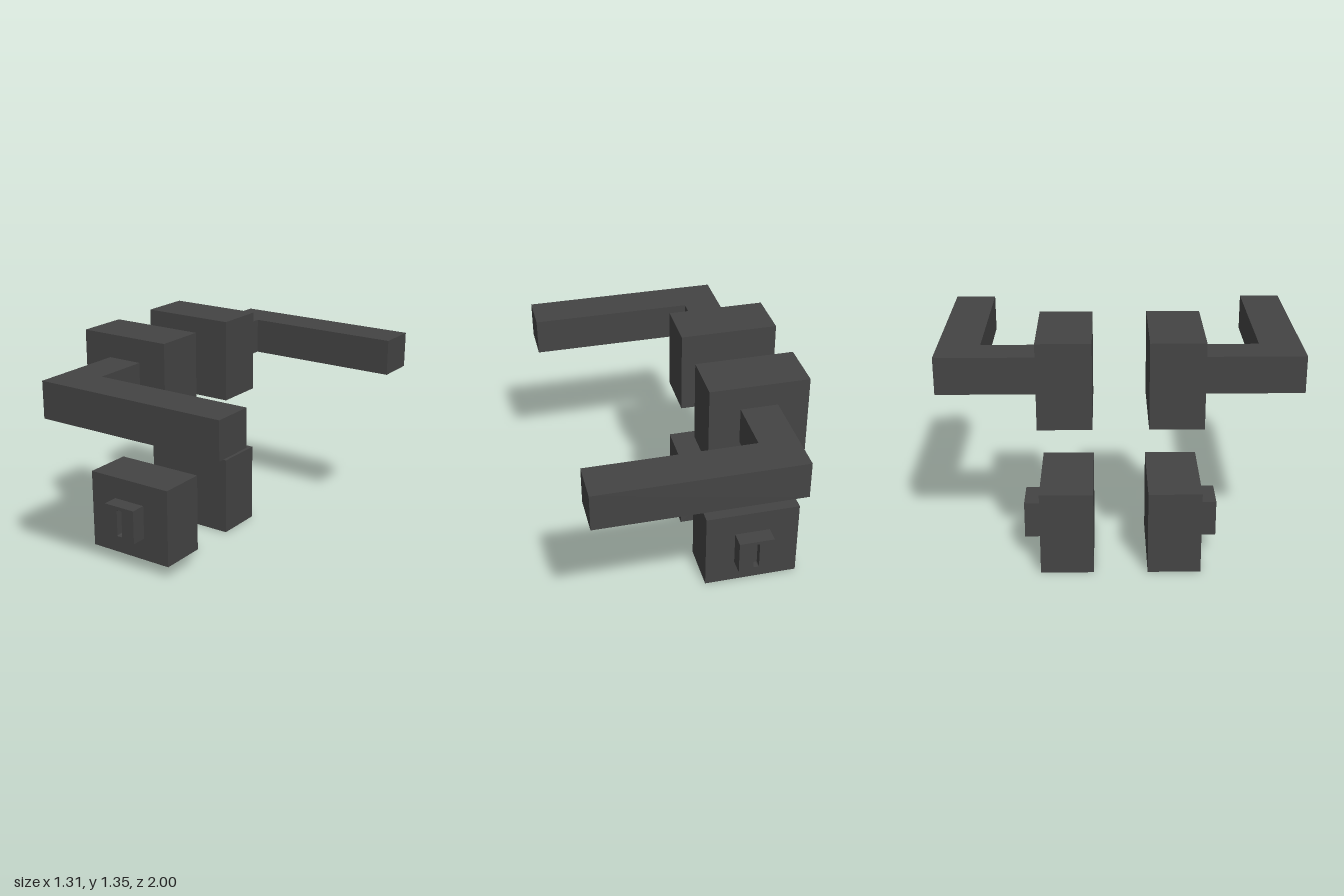
import * as THREE from 'three';

const material = new THREE.MeshStandardMaterial({ color: 0x444444 });

function add(parent, name, geometry, x = 0, y = 0, z = 0) {
  const mesh = new THREE.Mesh(geometry, material);
  mesh.name = name;
  mesh.position.set(x, y, z);
  parent.add(mesh);
}

// Rounded rectangle centred on the origin, drawn on a Shape or Path
function roundedRect(path, w, h, r) {
  const x = w / 2 - r, y = h / 2 - r;
  path.absarc(x, y, r, 0, Math.PI / 2);
  path.absarc(-x, y, r, Math.PI / 2, Math.PI);
  path.absarc(-x, -y, r, Math.PI, Math.PI * 1.5);
  path.absarc(x, -y, r, Math.PI * 1.5, Math.PI * 2);
  path.closePath();
  return path;
}

function roseBlock(parent) {
  add(parent, 'rose', new THREE.BoxGeometry(0.56, 0.48, 0.295), -0.375, 0, 0.2975);
}

// Block with an L-shaped lever, centred on its own height
function createLeverSet() {
  const set = new THREE.Group();
  roseBlock(set);
  const outline = new THREE.Shape([
    [-0.48, 0.44], [-0.27, 0.44], [-0.27, 0.765], [0.655, 0.765], [0.655, 1], [-0.48, 1],
  ].map(([x, z]) => new THREE.Vector2(x, z)));
  const lever = new THREE.ExtrudeGeometry(outline, { depth: 0.21, bevelEnabled: false });
  lever.translate(0, 0, -0.105).rotateX(Math.PI / 2);
  add(set, 'lever', lever);
  return set;
}

// Block with a small square lock boss and its recessed slot
function createLockSet() {
  const set = new THREE.Group();
  roseBlock(set);
  const face = new THREE.Shape();
  face.moveTo(-0.105, -0.104).lineTo(0.105, -0.104).lineTo(0.105, 0.104).lineTo(-0.105, 0.104).closePath();
  face.holes.push(roundedRect(new THREE.Path(), 0.035, 0.168, 0.008));
  add(set, 'lockBoss', new THREE.ExtrudeGeometry(face, { depth: 0.1, bevelEnabled: false, curveSegments: 4 }), -0.375, 0.002, 0.44);
  add(set, 'slotFloor', new THREE.BoxGeometry(0.04, 0.172, 0.05), -0.375, 0.002, 0.47);
  return set;
}

export function createModel() {
  const model = new THREE.Group();
  model.name = 'doorHandleSet';
  // Same fittings on both sides of the door; each is symmetric about its own height
  for (const [side, turn] of [['front', 0], ['back', Math.PI]]) {
    for (const [name, build, y] of [['LeverSet', createLeverSet, 1.105], ['LockSet', createLockSet, 0.24]]) {
      const set = build();
      set.name = side + name;
      set.position.y = y;
      set.rotation.x = turn;
      model.add(set);
    }
  }
  return model;
}
